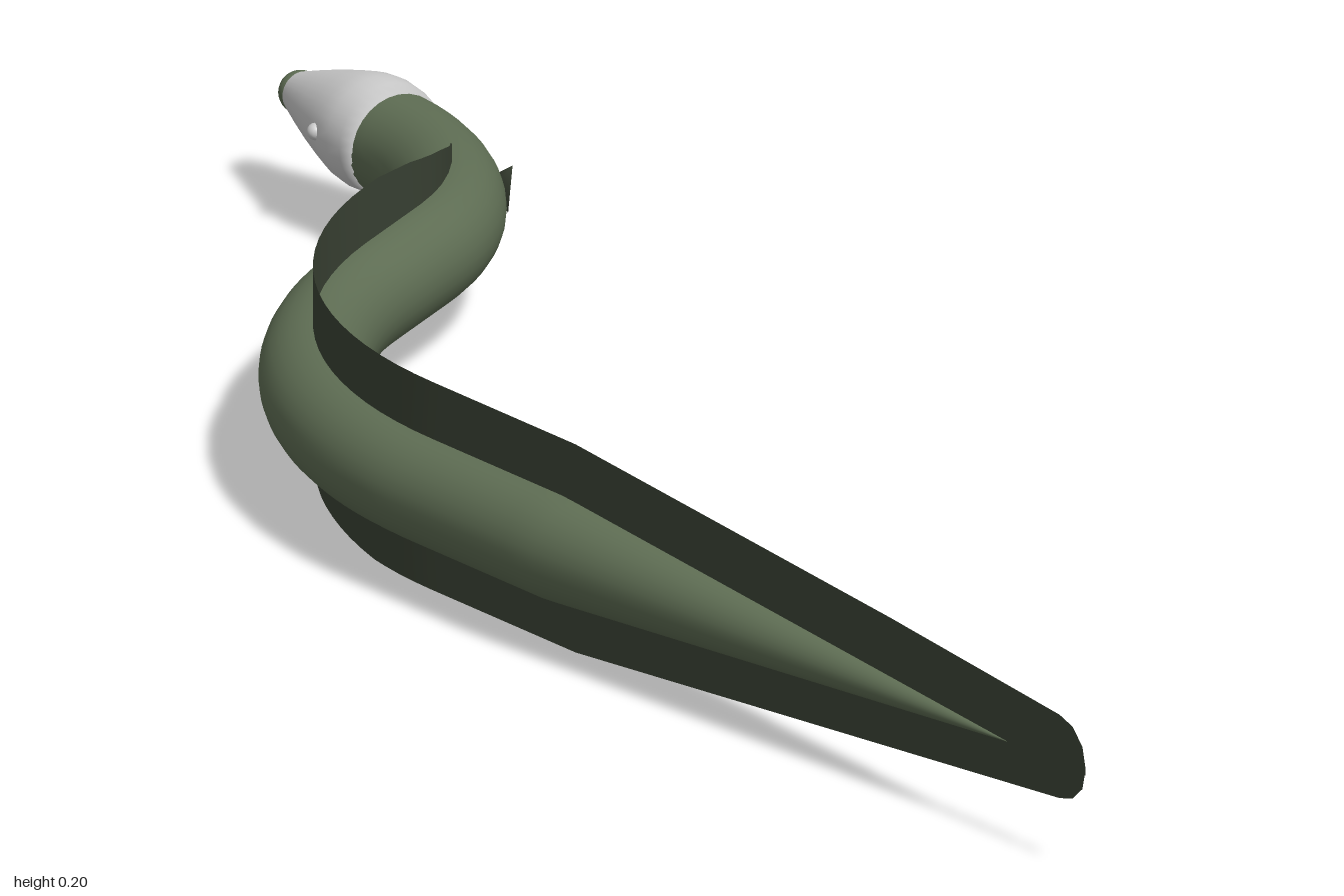
import * as THREE from 'three';

const Y = 0.094, R = 0.049; // spine height, body radius
const R1 = 0.56, R2 = 0.343, STRAIGHT = 0.115, TURN = Math.PI / 3, END = 0.087;
const S1 = 1 + R1 * TURN, S2 = S1 + STRAIGHT, S3 = S2 + R2 * (TURN - END);

// Point and heading on the spine, by arc length from the tail end
function spine(s) {
  if (s <= 1) return { x: -0.28, z: 1 - s, a: 0 };
  if (s <= S1) {
    const a = (s - 1) / R1;
    return { x: -0.28 + R1 * (1 - Math.cos(a)), z: -R1 * Math.sin(a), a };
  }
  const d = Math.min(s, S2) - S1;
  const x = -0.28 + R1 * 0.5 + d * Math.sin(TURN);
  const z = -R1 * Math.sin(TURN) - d * Math.cos(TURN);
  const a = TURN - Math.max(0, s - S2) / R2;
  return {
    x: x + R2 * (Math.cos(a) - Math.cos(TURN)),
    z: z + R2 * (Math.sin(a) - Math.sin(TURN)), a,
  };
}

// Piecewise linear lookup
function lookup(table, s) {
  for (let i = 1; i < table.length; i++) {
    const [s0, v0] = table[i - 1], [s1, v1] = table[i];
    if (s <= s1) return v0 + (v1 - v0) * Math.max(0, (s - s0) / (s1 - s0));
  }
  return table[table.length - 1][1];
}

function surface(positions, indices) {
  const g = new THREE.BufferGeometry();
  g.setAttribute('position', new THREE.Float32BufferAttribute(positions, 3));
  g.setIndex(indices);
  g.computeVertexNormals();
  return g;
}

// Round body swept along the spine, tapering to the tail
function bodyGeometry() {
  const rows = 90, sides = 28, pos = [], idx = [];
  for (let i = 0; i <= rows; i++) {
    const s = 0.12 + (S3 + 0.004 - 0.12) * i / rows;
    const p = spine(s), r = R * Math.min(1, (s - 0.12) / 0.68 + 0.004);
    for (let j = 0; j < sides; j++) {
      const t = j / sides * Math.PI * 2, c = r * Math.cos(t);
      pos.push(p.x + c * Math.cos(p.a), Y + r * Math.sin(t), p.z + c * Math.sin(p.a));
      if (i === rows) continue;
      const k = i * sides + j, n = i * sides + (j + 1) % sides;
      idx.push(k, k + sides, n, n, k + sides, n + sides);
    }
  }
  return surface(pos, idx);
}

// Upright ribbon from the spine out to an edge profile
function finGeometry(edge) {
  const pos = [], idx = [], stops = edge.map(e => e[0]);
  const last = stops[stops.length - 1];
  for (let i = 1; i <= 60; i++) stops.push(0.04 + (last - 0.04) * i / 60);
  stops.sort((a, b) => a - b);
  stops.forEach((s, i) => {
    const p = spine(s);
    pos.push(p.x, Y, p.z, p.x, lookup(edge, s), p.z);
    if (i) idx.push(2 * i - 2, 2 * i, 2 * i - 1, 2 * i - 1, 2 * i, 2 * i + 1);
  });
  return surface(pos, idx);
}

export function createModel() {
  const model = new THREE.Group();
  const skin = new THREE.MeshStandardMaterial({ color: 0x5f6e54 });
  const finMat = new THREE.MeshStandardMaterial({ color: 0x3a4234, side: THREE.DoubleSide });
  const grey = new THREE.MeshStandardMaterial({ color: 0xcccccc });
  const add = (parent, name, geometry, material) => {
    const m = new THREE.Mesh(geometry, material);
    m.name = name;
    parent.add(m);
    return m;
  };

  add(model, 'body', bodyGeometry(), skin);

  // Long fins that meet around the tail
  add(model, 'dorsalFin', finGeometry([[0, 0.1], [0.005, 0.12], [0.02, 0.135], [0.04, 0.141],
    [0.3, 0.163], [0.78, 0.197], [1.61, 0.197], [1.68, 0.19], [1.76, 0.177], [1.83, 0.16], [1.89, 0.14]]), finMat);
  add(model, 'ventralFin', finGeometry([[0, 0.1], [0.005, 0.08], [0.02, 0.067], [0.04, 0.062],
    [0.78, 0], [1.1, 0], [1.25, 0.008], [1.42, 0.024], [1.6, 0.046]]), finMat);

  // Small three-cornered side fins
  const f = spine(1.905);
  const sideFins = new THREE.Group();
  sideFins.name = 'pectoralFins';
  sideFins.position.set(f.x, Y, f.z);
  sideFins.rotation.y = -f.a;
  for (const s of [1, -1]) {
    const g = surface([
      s * 0.048, 0, -0.026, s * 0.056, 0.025, 0.024, s * 0.054, -0.024, 0.012, s * 0.04, 0, 0.01,
    ], [0, 1, 2, 0, 3, 1, 0, 2, 3, 1, 3, 2]);
    add(sideFins, s > 0 ? 'leftPectoralFin' : 'rightPectoralFin', g, finMat);
  }
  model.add(sideFins);

  // Tapered head with snout and eyes
  const n = spine(S3);
  const head = new THREE.Group();
  head.name = 'head';
  head.position.set(n.x, Y + 0.002, n.z);
  head.rotation.y = -n.a;
  const profile = [[0, -0.002], [0.049, -0.002], [0.0525, 0.015], [0.054, 0.035], [0.052, 0.055],
    [0.046, 0.08], [0.038, 0.11], [0.029, 0.14], [0.02, 0.168]].map(p => new THREE.Vector2(...p));
  add(head, 'skull', new THREE.LatheGeometry(profile, 32).rotateX(-Math.PI / 2), grey);
  const snout = add(head, 'snoutTip', new THREE.SphereGeometry(0.02, 24, 16), skin);
  snout.position.z = -0.17;
  for (const s of [1, -1]) {
    const eye = add(head, s > 0 ? 'leftEye' : 'rightEye', new THREE.SphereGeometry(0.008, 16, 12), grey);
    eye.position.set(s * 0.049, 0.002, -0.062);
  }
  model.add(head);
  return model;
}
